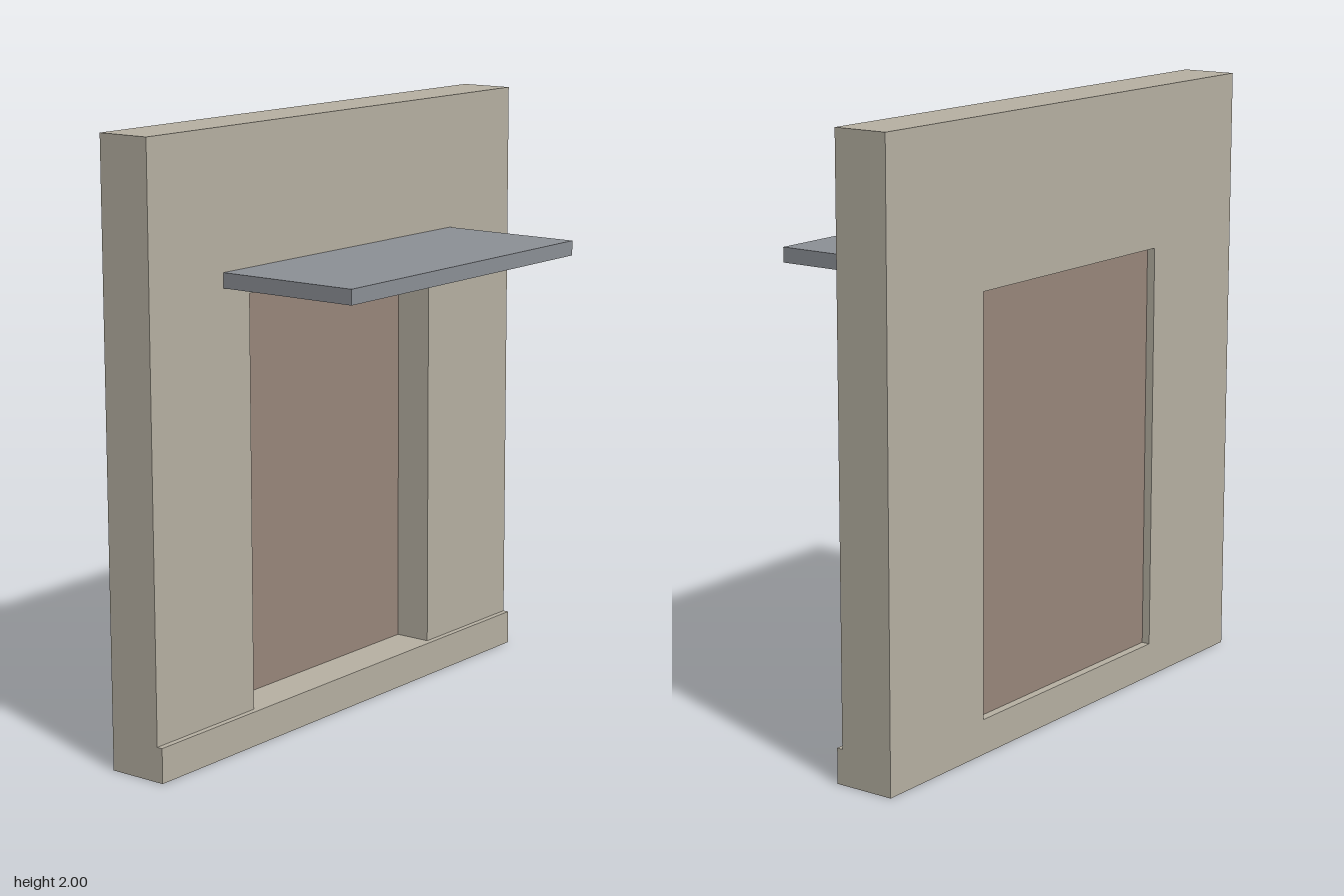
import * as THREE from 'three';

const wallMat = new THREE.MeshStandardMaterial({ name: 'wall plaster', color: 0xb8b2a4 });
const doorMat = new THREE.MeshStandardMaterial({ name: 'door brown', color: 0x9a887c });
const canopyMat = new THREE.MeshStandardMaterial({ name: 'canopy grey', color: 0x8d9197 });

// Box given by its minimum and maximum corners
function block(name, material, min, max) {
  const size = max.map((v, i) => v - min[i]);
  const mesh = new THREE.Mesh(new THREE.BoxGeometry(...size), material);
  mesh.position.set(...max.map((v, i) => (v + min[i]) / 2));
  mesh.name = name;
  return mesh;
}

function rectangle(target, x, y0, y1) {
  target.moveTo(-x, y0);
  target.lineTo(x, y0);
  target.lineTo(x, y1);
  target.lineTo(-x, y1);
  target.closePath();
  return target;
}

export function createModel() {
  const model = new THREE.Group();
  model.name = 'doorwayWall';

  const halfWidth = 0.935, back = -0.34, front = -0.155;
  const doorHalf = 0.47, sill = 0.115, head = 1.47;

  // Wall with the door opening cut through it
  const outline = rectangle(new THREE.Shape(), halfWidth, 0, 2);
  outline.holes.push(rectangle(new THREE.Path(), doorHalf, sill, head));
  const wall = new THREE.Mesh(
    new THREE.ExtrudeGeometry(outline, { depth: front - back, bevelEnabled: false }), wallMat);
  wall.position.z = back;
  wall.name = 'wall';
  model.add(wall);

  // Plinth strip along the foot of the wall
  model.add(block('plinth', wallMat, [-halfWidth, 0, front], [halfWidth, sill, -0.135]));

  // Door panel set deep in the opening
  model.add(block('door', doorMat, [-doorHalf, sill, -0.312], [doorHalf, head, -0.282]));

  // Canopy slab projecting over the door
  model.add(block('canopy', canopyMat, [-0.594, 1.503, front], [0.591, 1.552, 0.343]));

  return model;
}
